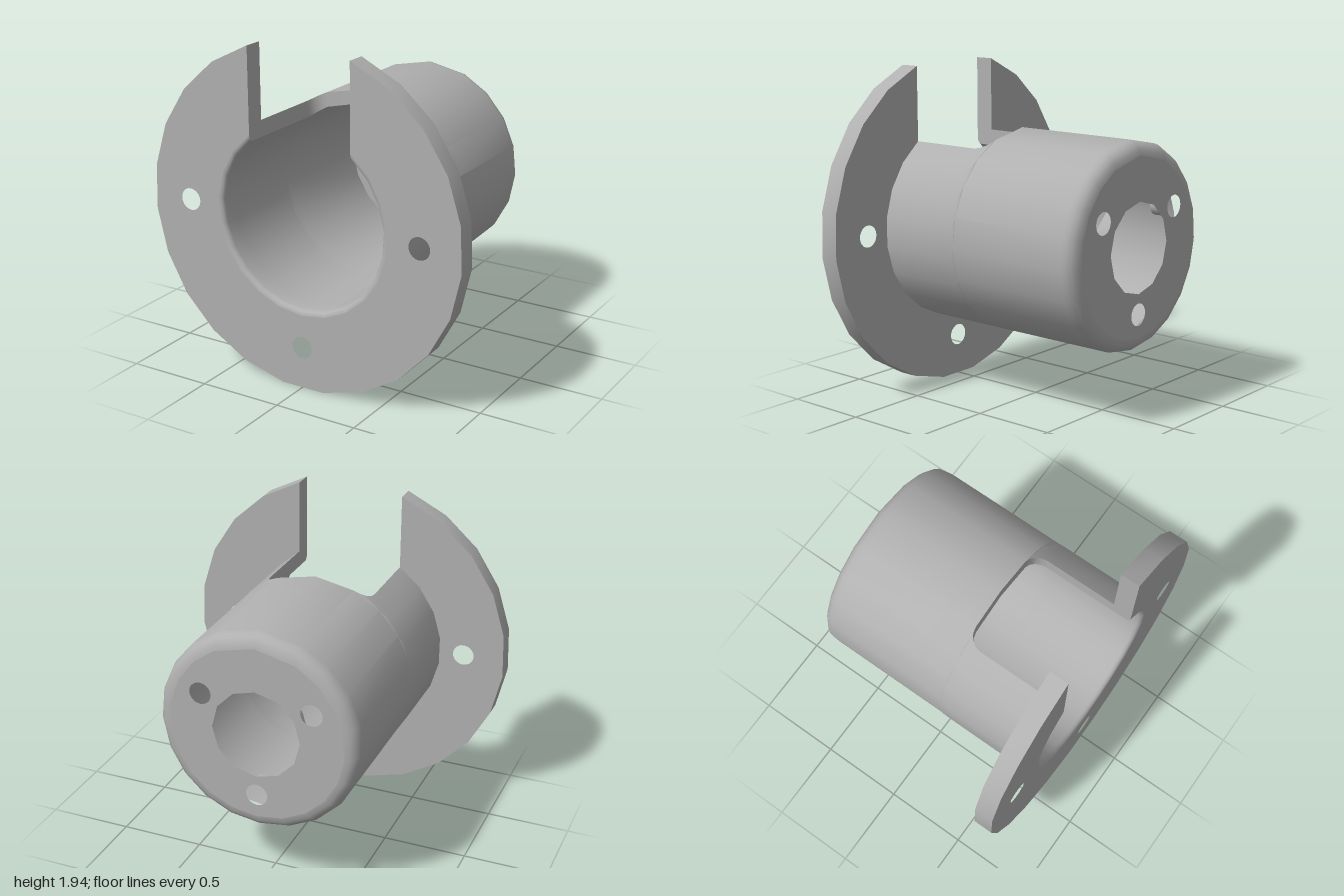
import * as THREE from 'three';
import { mergeGeometries, toCreasedNormals } from 'three/addons/utils/BufferGeometryUtils.js';

const BACK = -0.745, FRONT = 0.745, FLANGE_Z = 0.63, FLOOR_Z = -0.625;
const R_OUT = 0.6, R_IN = 0.52, R_LIP = 0.55;
const SLOT = 0.325, CORNER = 0.09, SLOT_Z = 0.1;
const SEGS = 18;

// half width of the slot at depth z, with rounded inner corners
function slotWidth(z) {
  const d = THREE.MathUtils.clamp(SLOT_Z + CORNER - z, 0, CORNER);
  return SLOT - CORNER + Math.sqrt(Math.max(0, CORNER * CORNER - d * d));
}

// arc around the axis; the angle runs from +y towards +x
function arc(r, from, to, z, n) {
  return Array.from({ length: n + 1 }, (_, i) => {
    const t = from + (to - from) * i / n;
    return new THREE.Vector3(r * Math.sin(t), r * Math.cos(t), z);
  });
}
function mainArc([r, z], n = SEGS) {
  const a = Math.asin(slotWidth(z) / r);
  return arc(r, a, Math.PI * 2 - a, z, n);
}
function topArc([r, z]) {
  const a = Math.asin(slotWidth(z) / r);
  return arc(r, -a, a, z, 2);
}

// surface through rows of points
function loft(rows, flip = false) {
  const pos = [];
  for (let j = 0; j < rows.length - 1; j++) {
    for (let i = 0; i < rows[j].length - 1; i++) {
      const a = rows[j][i], b = rows[j + 1][i], c = rows[j + 1][i + 1], d = rows[j][i + 1];
      for (const p of flip ? [a, c, b, a, d, c] : [a, b, c, a, c, d]) pos.push(p.x, p.y, p.z);
    }
  }
  const g = new THREE.BufferGeometry();
  g.setAttribute('position', new THREE.Float32BufferAttribute(pos, 3));
  return g;
}

// plate with round holes, extruded along z
function plate(outline, holes, z, depth) {
  const shape = new THREE.Shape(outline.map(p => new THREE.Vector2(p.x, p.y)));
  for (const [x, y, r, n] of holes) {
    const pts = arc(r, 0, Math.PI * 2, 0, n).slice(0, -1);
    shape.holes.push(new THREE.Path(pts.map(p => new THREE.Vector2(p.x + x, p.y + y))));
  }
  const g = new THREE.ExtrudeGeometry(shape, { depth, bevelEnabled: false });
  g.translate(0, 0, z);
  return toCreasedNormals(g, 0.6);
}

function shellGeometry() {
  const steps = [0, 1, 2, 3, 4].map(i => i / 4 * Math.PI / 2);
  const cornerZ = steps.map(a => SLOT_Z + CORNER * (1 - Math.cos(a)));

  // profiles as [radius, z], back to front
  const outerBack = [...steps.map(a => [R_IN + 0.08 * Math.sin(a), BACK + 0.08 * (1 - Math.cos(a))]), [R_OUT, SLOT_Z]];
  const innerBack = [[R_IN, FLOOR_Z], [R_IN, SLOT_Z]];
  const outerFront = [...cornerZ.slice(1).map(z => [R_OUT, z]), [R_OUT, FLANGE_Z]];
  const lip = steps.map(a => [R_LIP - 0.03 * Math.cos(a), FRONT - 0.03 + 0.03 * Math.sin(a)]);
  const innerFront = [...cornerZ.slice(1).map(z => [R_IN, z]), [R_IN, FLANGE_Z], ...lip];

  const parts = [
    loft([...outerBack, ...outerFront].map(p => mainArc(p))),
    loft([...innerBack, ...innerFront].map(p => mainArc(p)), true),
    loft(outerBack.map(topArc)),
    loft(innerBack.map(topArc), true),
    // end wall of the slot
    loft([topArc([R_IN, SLOT_Z]), topArc([R_OUT, SLOT_Z])], true),
  ];

  // side walls of the slot, through the tube and then the lip
  const tubeWall = [...cornerZ, FLANGE_Z].map(z => [R_IN, R_OUT, z]);
  const lipWall = [[R_IN, R_LIP, FLANGE_Z], ...lip.slice(0, -1).map(([r, z]) => [r, R_LIP, z])];
  for (const wall of [tubeWall, lipWall]) {
    for (const side of [1, -1]) {
      const rows = wall.map(([ri, ro, z]) => [ri, ro].map(r => {
        const w = slotWidth(z);
        return new THREE.Vector3(side * w, Math.sqrt(r * r - w * w), z);
      }));
      parts.push(loft(rows, side < 0));
    }
  }
  return toCreasedNormals(mergeGeometries(parts), 0.6);
}

export function createModel() {
  const model = new THREE.Group();
  model.name = 'flangedHousing';
  const grey = new THREE.MeshStandardMaterial({ color: 0xb0b0b0 });
  grey.name = 'grey';

  const add = (name, geometry) => {
    const mesh = new THREE.Mesh(geometry, grey);
    mesh.name = name;
    mesh.position.y = 1;
    model.add(mesh);
  };

  add('slottedTube', shellGeometry());

  // flange: open ring with three mounting holes
  const ring = [...mainArc([1, FRONT], 21), ...mainArc([R_LIP, FRONT]).reverse()];
  const bolts = [[0.745, 0], [-0.745, 0], [0, -0.745]].map(([x, y]) => [x, y, 0.065, 20]);
  add('flange', plate(ring, bolts, FLANGE_Z, FRONT - FLANGE_Z));

  // closed end: shaft opening and three screw holes
  const disc = [...mainArc([R_IN, BACK]), ...topArc([R_IN, BACK]).slice(1, -1)];
  const screws = [30, 150, 270].map(d => {
    const a = THREE.MathUtils.degToRad(d);
    return [0.38 * Math.cos(a), 0.38 * Math.sin(a), 0.065, 20];
  });
  add('endPlate', plate(disc, [[0, 0, 0.262, 12], ...screws], BACK, FLOOR_Z - BACK));

  return model;
}
